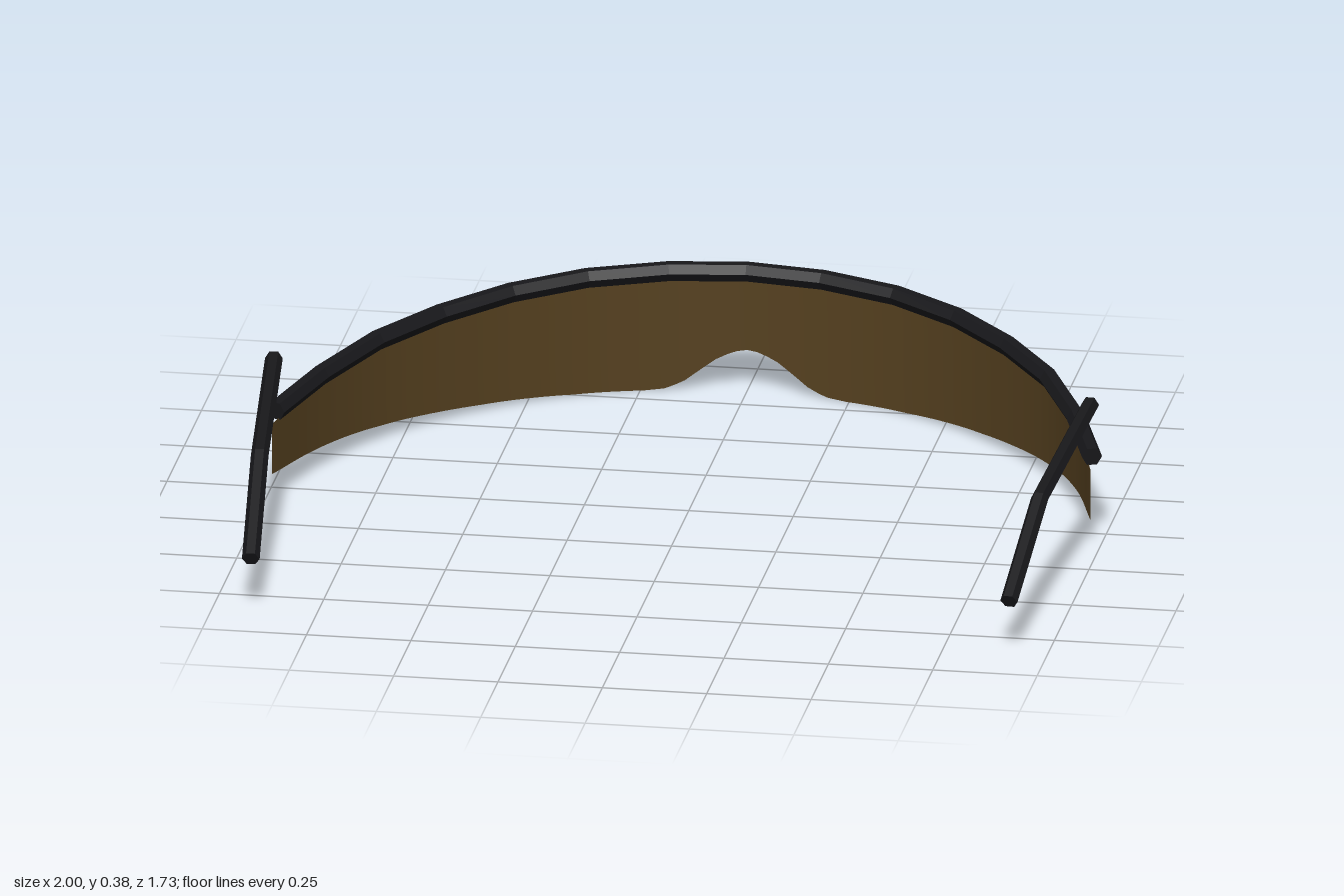
import * as THREE from 'three';

const V = (x, y, z) => new THREE.Vector3(x, y, z);

// Hexagonal rod swept along a polyline with mitred joints and closed ends
function rodGeometry(points, radius, sides = 6) {
  const up = V(0, 1, 0), pos = [], index = [], n = points.length;
  points.forEach((p, i) => {
    const before = p.clone().sub(points[Math.max(i - 1, 0)]).normalize();
    const after = points[Math.min(i + 1, n - 1)].clone().sub(p).normalize();
    const t = before.add(after).normalize();
    const a = t.clone().cross(up).normalize(), b = a.clone().cross(t);
    for (let j = 0; j < sides; j++) {
      const ang = (j / sides) * Math.PI * 2;
      const q = p.clone().addScaledVector(a, radius * Math.cos(ang)).addScaledVector(b, radius * Math.sin(ang));
      pos.push(q.x, q.y, q.z);
    }
  });
  for (let i = 0; i < n - 1; i++) {
    for (let j = 0; j < sides; j++) {
      const k = (j + 1) % sides, r = i * sides, s = r + sides;
      index.push(r + j, s + j, r + k, s + j, s + k, r + k);
    }
  }
  const last = (n - 1) * sides;
  for (let j = 1; j < sides - 1; j++) index.push(0, j, j + 1, last, last + j + 1, last + j);
  const g = new THREE.BufferGeometry();
  g.setAttribute('position', new THREE.Float32BufferAttribute(pos, 3));
  g.setIndex(index);
  g.computeVertexNormals();
  return g;
}

export function createModel() {
  const model = new THREE.Group();
  model.name = 'visorGlasses';
  const black = new THREE.MeshStandardMaterial({ color: 0x17171a, flatShading: true });
  const brown = new THREE.MeshStandardMaterial({ color: 0x55401f, side: THREE.DoubleSide });
  const add = (name, geometry, material) => {
    const m = new THREE.Mesh(geometry, material);
    m.name = name;
    model.add(m);
  };

  // Plan outline of one half [x, z], from temple to centre, mirrored to the other side
  const half = [[0.978, 0.072], [0.905, -0.14], [0.805, -0.35], [0.68, -0.515],
    [0.535, -0.655], [0.37, -0.76], [0.185, -0.823]];
  const plan = [...half, [0, -0.845], ...half.slice().reverse().map(([x, z]) => [-x, z])];

  // Brow bar rises towards the middle
  const bar = plan.map(([x, z]) => V(x, 0.226 + (0.07 - z) * 0.0885, z));
  add('browBar', rodGeometry(bar, 0.024), black);

  // Wraparound lens: smooth sheet below the bar with a nose notch in its lower edge
  const lensPlan = plan.map(([x, z]) => V(x, 0, z));
  lensPlan[0].set(0.98, 0, 0.108);
  lensPlan[lensPlan.length - 1].set(-0.98, 0, 0.108);
  const path = new THREE.CatmullRomCurve3(lensPlan);
  const edge = [[0, 0.11], [0.03, 0.105], [0.07, 0.087], [0.11, 0.058], [0.15, 0.028], [0.19, 0.011],
    [0.24, 0.007], [0.4, 0.01], [0.6, 0.024], [0.8, 0.045], [0.92, 0.066], [0.99, 0.082]];
  const lowerEdge = (x) => {
    const i = Math.min(Math.max(edge.findIndex((e) => e[0] >= x), 1), edge.length - 1);
    const [x0, y0] = edge[i - 1], [x1, y1] = edge[i];
    return THREE.MathUtils.lerp(y0, y1, (x - x0) / (x1 - x0));
  };
  const cols = 120, rows = 4;
  const lens = new THREE.PlaneGeometry(1, 1, cols, rows);
  const p = lens.attributes.position;
  for (let r = 0; r <= rows; r++) {
    for (let c = 0; c <= cols; c++) {
      const q = path.getPointAt(c / cols);
      const top = 0.207 + (0.1 - q.z) * 0.083;
      p.setXYZ(r * (cols + 1) + c, q.x, THREE.MathUtils.lerp(top, lowerEdge(Math.abs(q.x)), r / rows), q.z);
    }
  }
  lens.computeVertexNormals();
  add('lens', lens, brown);

  // Temple arms, bent down behind the ear
  for (const [name, s] of [['leftArm', 1], ['rightArm', -1]]) {
    const arm = [V(s * 0.978, 0.366, 0.095), V(s * 0.934, 0.293, 0.565), V(s * 0.908, 0.136, 0.852)];
    add(name, rodGeometry(arm, 0.021), black);
  }
  return model;
}
